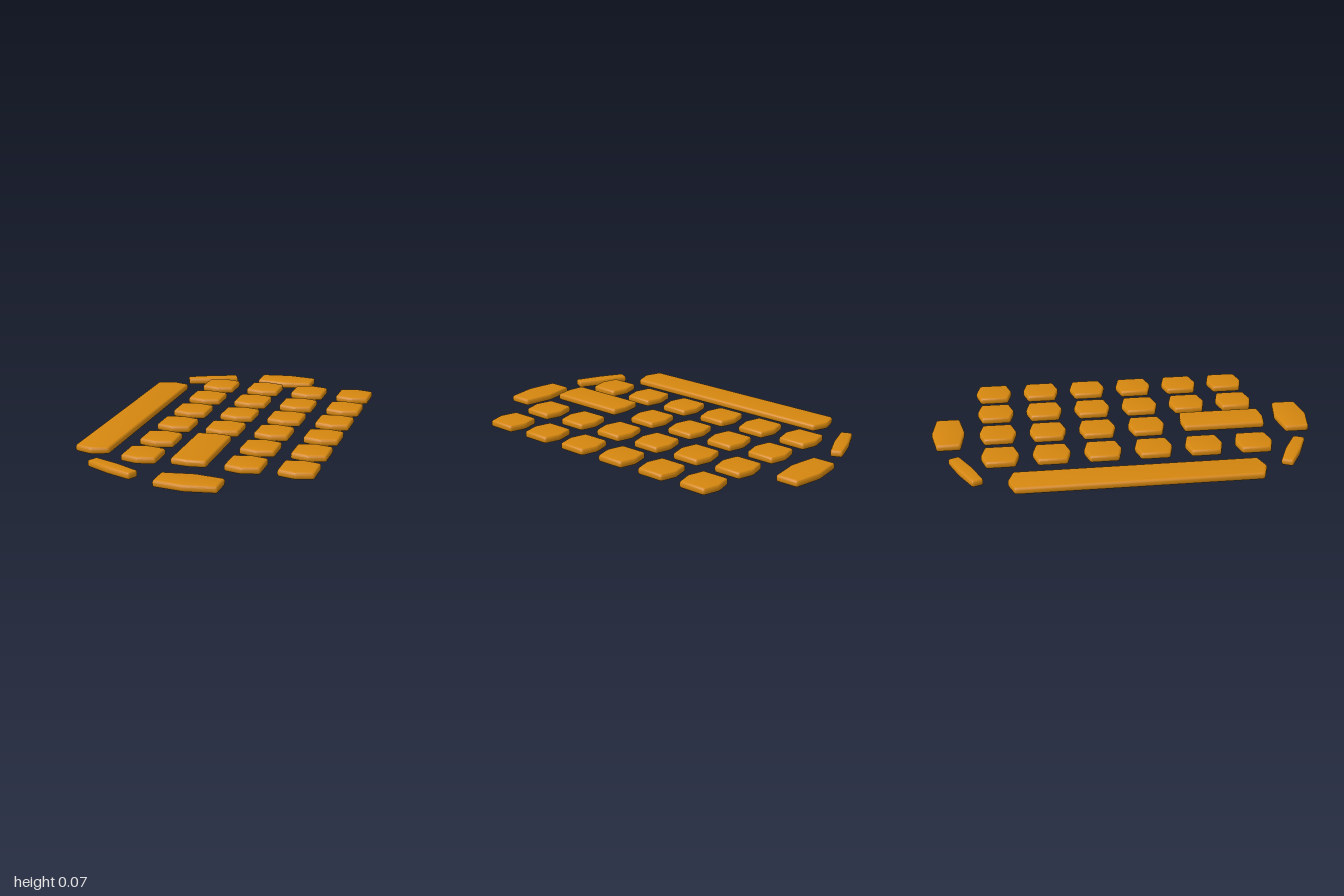
import * as THREE from 'three';
import { toCreasedNormals } from 'three/addons/utils/BufferGeometryUtils.js';

const material = new THREE.MeshStandardMaterial({ color: 0xd4860f });
const THICK = 0.036;
const BEVEL = 0.012;

// Six-sided outline with a shallow peak on both z ends and softened corners
function hexOutline(w, d, peak, r = 0.012) {
  const x = w / 2, s = d / 2 - peak;
  const pts = [[x, -s], [x, s], [0, d / 2], [-x, s], [-x, -s], [0, -d / 2]]
    .map(([a, b]) => new THREE.Vector2(a, b));
  const shape = new THREE.Shape();
  pts.forEach((p, i) => {
    const prev = pts[(i + 5) % 6], next = pts[(i + 1) % 6];
    const a = p.clone().add(prev.clone().sub(p).setLength(r));
    const b = p.clone().add(next.clone().sub(p).setLength(r));
    if (i === 0) shape.moveTo(a.x, a.y);
    else shape.lineTo(a.x, a.y);
    shape.quadraticCurveTo(p.x, p.y, b.x, b.y);
  });
  shape.closePath();
  return shape;
}

// Flat slab with rounded rims, base at y = 0
function padGeometry(w, d, peak) {
  const geometry = new THREE.ExtrudeGeometry(hexOutline(w, d, peak), {
    depth: THICK - 2 * BEVEL,
    bevelEnabled: true,
    bevelThickness: BEVEL,
    bevelSize: BEVEL,
    bevelOffset: -BEVEL,
    bevelSegments: 3,
    curveSegments: 3,
  });
  geometry.translate(0, 0, BEVEL).rotateX(-Math.PI / 2);
  return toCreasedNormals(geometry, 0.7);
}

export function createModel() {
  const model = new THREE.Group();
  model.name = 'padSet';

  function add(name, geometry, x, y, z, turn = 0) {
    const mesh = new THREE.Mesh(geometry, material);
    mesh.name = name;
    mesh.position.set(x, y, z);
    mesh.rotation.y = turn;
    model.add(mesh);
  }

  // Grid of small pads; the second column ends in one long pad
  const small = padGeometry(0.18, 0.195, 0.023);
  const columns = [-0.255, 0.005, 0.263, 0.521];
  columns.forEach((x, c) => {
    const rows = c === 1 ? 4 : 6;
    for (let r = 0; r < rows; r++) {
      add(`smallPad_${c + 1}_${r + 1}`, small, x, 0.016, -0.658 + r * 0.259);
    }
  });
  add('longPad', padGeometry(0.18, 0.445, 0.012), 0.005, 0.03, 0.522);

  // Long bar along the right side
  add('sideBar', padGeometry(0.18, 1.28, 0.03), -0.53, 0.01, 0.005);

  // Wide pads at both ends
  const wide = padGeometry(0.315, 0.172, 0.024);
  add('frontEndPad', wide, 0.067, 0, 0.91);
  add('backEndPad', wide, 0.067, 0, -0.914);

  // Slim slanted pads between the bar and the end pads
  const slim = padGeometry(0.288, 0.078, 0.008);
  add('frontSlantedPad', slim, -0.342, 0, 0.825, -0.45);
  add('backSlantedPad', slim, -0.36, 0, -0.833, 0.41);

  return model;
}
